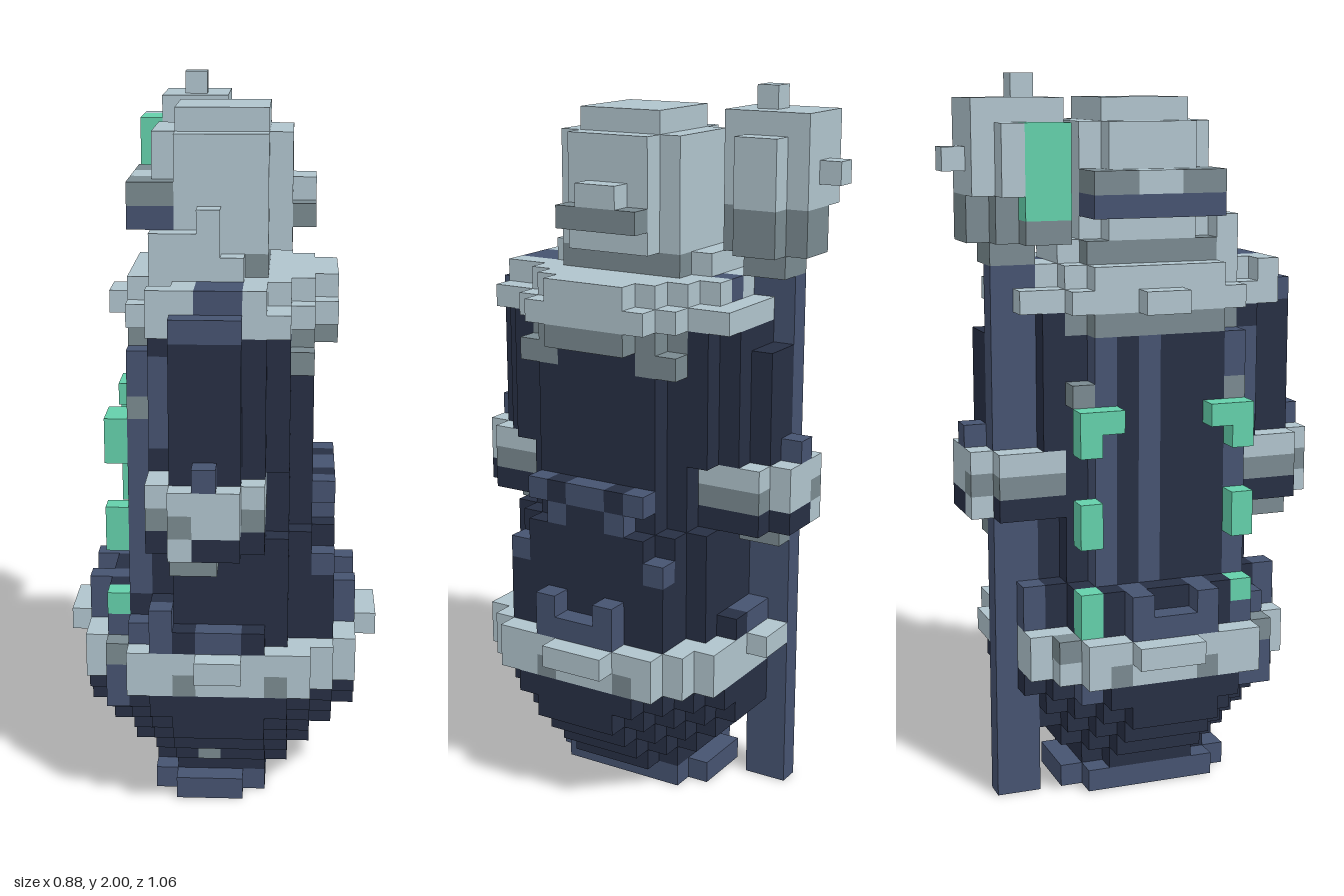
import * as THREE from 'three';

const U = 1 / 16; // size of one block
const COLOURS = { paleStone: 0xb0c4cd, greyStone: 0x7a8a90, slateBlue: 0x465370, darkNavy: 0x272f44, jadeGreen: 0x64d0ab };
const SIDES = [[1, 0, 0], [-1, 0, 0], [0, 1, 0], [0, -1, 0], [0, 0, 1], [0, 0, -1]];

export function createModel() {
  const cells = new Map();

  // Fill a block range (upper ends exclusive); cut bevels the vertical corners in steps.
  const slab = (part, colour, x0, x1, y0, y1, z0, z1, cut = 0) => {
    for (let x = x0; x < x1; x++) for (let z = z0; z < z1; z++) {
      if (Math.min(x - x0, x1 - 1 - x) + Math.min(z - z0, z1 - 1 - z) < cut) continue;
      for (let y = y0; y < y1; y++) cells.set(`${x},${y},${z}`, { part, colour, p: [x, y, z] });
    }
  };
  const N = 'darkNavy', B = 'slateBlue', L = 'paleStone', G = 'greyStone', J = 'jadeGreen';

  // Rounded base, widening in steps
  slab('foot', B, -3, 2, 0, 1, 5, 13, 1);
  slab('foot', N, -2, 1, 0, 1, 7, 8);
  slab('foot', N, -2, 1, 0, 1, 10, 11);
  slab('base', N, -3, 3, 1, 2, 6, 12, 1);
  slab('base', N, -4, 4, 2, 3, 5, 13, 2);
  slab('base', N, -5, 5, 3, 4, 4, 14, 3);
  slab('base', N, -6, 6, 4, 5, 3, 15, 4);
  slab('base', N, -6, 6, 5, 6, 3, 15, 3);
  slab('base', G, -1, 0, 2, 3, 12, 13);

  // Rim ring with studs
  slab('rim', L, -6, 6, 6, 8, 3, 15, 2);
  slab('rim', L, -7, 7, 7, 8, 7, 10);
  slab('rim', L, -1, 1, 7, 8, 2, 16);
  for (const x of [-2, 2]) slab('rim', G, x, x + 1, 6, 7, 14, 15);
  for (const z of [6, 10]) for (const x of [-6, 5]) slab('rim', G, x, x + 1, 6, 7, z, z + 1);
  for (const z of [4, 13]) slab('rim', G, -5, -4, 7, 8, z, z + 1);
  slab('rimPost', B, -5, -4, 5, 7, 13, 14);

  // Lower body and ledge blocks
  slab('lowerBody', N, -5, 5, 8, 10, 4, 14, 2);
  slab('lowerBody', N, -4, 5, 10, 13, 4, 14, 2);
  slab('lowerBody', N, -4, 5, 13, 15, 6, 12, 1);
  for (const x of [-6, 5]) {
    slab('ledgeBlock', B, x, x + 1, 8, 9, 7, 11);
    for (const z of [7, 10]) slab('ledgeBlock', B, x, x + 1, 9, 10, z, z + 1);
  }
  for (const z of [7, 10]) slab('ledgeBlock', B, -5, -4, 8, 10, z, z + 1);
  for (const z of [3, 14]) {
    slab('ledgeBlock', N, -3, 2, 8, 9, z, z + 1);
    slab('ledgeBlock', B, -3, -2, 8, 10, z, z + 1);
    slab('ledgeBlock', B, -1, 1, 8, 9, z, z + 1);
  }
  slab('ledgeBlock', B, -4, -3, 8, 9, 13, 14);
  for (const z of [5, 12]) {
    slab('ledgePost', N, 4, 5, 8, 11, z, z + 1);
    slab('ledgePost', B, 4, 5, 11, 12, z, z + 1);
  }
  for (const z of [6, 8, 9, 11]) slab('ledgeBlock', B, 4, 5, 14, 15, z, z + 1);
  for (const z of [7, 10]) slab('ledgeBlock', B, 4, 5, 13, 14, z, z + 1);

  // Upper body with pointed front and back fins
  slab('upperBody', N, -4, 4, 10, 22, 4, 14, 2);
  slab('upperBody', N, -3, 3, 16, 22, 3, 15, 1);
  slab('frontFin', N, -2, 1, 16, 23, 14, 16);
  slab('backFin', N, -1, 1, 16, 21, 2, 4);

  // Blue strips up the right flank with green lamps, each lamp pair flaring outward
  for (const z of [6, 8, 12]) slab('flankStrip', B, -4, -3, 10, 21, z, z + 1);
  slab('flankStrip', B, -3, -2, 17, 21, 13, 14);
  for (const [z0, outer] of [[5, 5], [11, 12]]) {
    slab('lampPost', B, -5, -4, 5, 8, outer, outer + 1);
    for (const [y0, y1] of [[8, 10], [12, 14], [16, 18]]) slab('lamp', J, -5, -4, y0, y1, outer, outer + 1);
    slab('lamp', J, -5, -4, 17, 18, z0, z0 + 2);
    slab('lampCap', G, -4, -3, 18, 19, outer, outer + 1);
  }
  slab('ledgeBlock', B, -5, -4, 8, 9, 12, 13);

  // Front and back balconies
  for (const back of [false, true]) {
    const b = (part, colour, x0, x1, y0, y1, z0, z1) =>
      slab(part, colour, x0, x1, y0, y1, back ? 18 - z1 : z0, back ? 18 - z0 : z1);
    b('balconyBracket', G, -2, 0, 12, 13, 14, 16);
    b('balcony', N, -3, 2, 13, 14, 13, 16);
    b('balcony', N, -2, 1, 13, 14, 16, 17);
    b('balcony', L, -2, -1, 13, 14, 16, 17);
    b('balcony', G, -3, 2, 14, 15, 13, 16);
    b('balcony', G, -2, 1, 14, 15, 16, 17);
    b('balcony', L, -1, 1, 14, 15, 15, 17);
    b('balcony', L, -3, 2, 15, 16, 13, 16);
    b('balcony', L, -2, 1, 15, 16, 16, 17);
    b('balconyStud', B, -1, 0, 16, 17, 16, 17);
  }

  // Stone collar under the heads, stepped outward
  slab('collar', G, 2, 4, 20, 21, 5, 7);
  slab('collar', G, 2, 4, 20, 21, 11, 13);
  slab('collar', G, -4, 4, 21, 22, 4, 14, 2);
  slab('collar', G, 4, 5, 21, 22, 7, 11);
  slab('collar', L, -4, 4, 22, 23, 4, 14, 1);
  slab('collar', L, -3, 3, 22, 23, 3, 15);
  slab('collar', L, -5, -4, 22, 23, 8, 10);
  slab('collar', L, 4, 5, 22, 23, 6, 12);
  slab('collar', L, -4, 4, 23, 24, 4, 14, 2);
  slab('collar', L, -3, 2, 23, 24, 14, 15);
  slab('collar', L, 4, 5, 23, 24, 7, 11);
  slab('collar', B, 0, 1, 23, 24, 4, 5);
  slab('frontFin', N, -2, 1, 21, 22, 13, 16);
  slab('frontFin', B, -2, 1, 22, 23, 15, 16);
  slab('frontFin', B, -1, 1, 22, 24, 13, 15);

  // Back pole down to the ground
  slab('pole', B, -2, -1, 0, 24, 2, 4);

  // Front head
  slab('frontHead', G, -3, 2, 24, 25, 5, 13, 1);
  slab('frontHead', L, -2, 1, 24, 25, 5, 13);
  slab('frontHead', L, -3, 3, 25, 30, 6, 12, 1);
  slab('frontHead', L, -2, 2, 30, 31, 7, 11);
  slab('nose', L, -1, 0, 24, 27, 12, 13);
  slab('cheek', L, -3, -1, 24, 26, 12, 13);
  slab('brim', G, 3, 4, 26, 27, 7, 11);
  slab('brim', L, 3, 4, 27, 28, 8, 10);
  slab('brim', B, -4, -3, 26, 27, 6, 12);
  slab('brim', L, -4, -3, 27, 28, 8, 10);
  for (const [z0, z1, corner] of [[6, 8, 6], [10, 12, 11]]) {
    slab('brim', B, -3, -2, 26, 27, corner, corner + 1);
    slab('brim', G, -4, -3, 27, 28, z0, z1);
    slab('brim', G, -3, -2, 27, 28, corner, corner + 1);
  }

  // Back head with knobs and a green side lamp
  slab('backHead', G, -2, 0, 24, 25, 2, 4);
  slab('backHead', G, -3, 1, 25, 27, 1, 5, 1);
  slab('backHead', L, -4, 1, 27, 30, 1, 5, 1);
  slab('backHead', L, -3, 0, 30, 31, 1, 5);
  slab('backKnob', L, -2, -1, 28, 29, 0, 1);
  slab('topKnob', L, -2, -1, 31, 32, 3, 4);
  slab('sideLamp', G, -4, -3, 25, 26, 3, 5);
  slab('sideLamp', J, -4, -3, 26, 30, 3, 5);

  // Emit only the outer faces of the blocks, one mesh per part and colour
  const materials = {};
  for (const [name, color] of Object.entries(COLOURS)) {
    materials[name] = new THREE.MeshStandardMaterial({ color });
    materials[name].name = name;
  }
  const buckets = new Map();
  for (const { part, colour, p } of cells.values()) {
    const id = part + '|' + colour;
    if (!buckets.has(id)) buckets.set(id, { part, colour, pos: [], nor: [] });
    const { pos, nor } = buckets.get(id);
    for (const d of SIDES) {
      if (cells.has(p.map((v, i) => v + d[i]).join())) continue;
      const a = d.findIndex((v) => v !== 0), b = (a + 1) % 3, c = (a + 2) % 3;
      const corner = (s, t) => {
        const q = [...p];
        q[a] += d[a] > 0 ? 1 : 0;
        q[b] += s;
        q[c] += t;
        return [q[0] * U, q[1] * U, (q[2] - 8.5) * U];
      };
      const quad = [corner(0, 0), corner(1, 0), corner(1, 1), corner(0, 1)];
      if (d[a] < 0) quad.reverse();
      for (const i of [0, 1, 2, 0, 2, 3]) {
        pos.push(...quad[i]);
        nor.push(...d);
      }
    }
  }

  const group = new THREE.Group();
  group.name = 'blockTower';
  for (const { part, colour, pos, nor } of buckets.values()) {
    if (!pos.length) continue;
    const geometry = new THREE.BufferGeometry();
    geometry.setAttribute('position', new THREE.Float32BufferAttribute(pos, 3));
    geometry.setAttribute('normal', new THREE.Float32BufferAttribute(nor, 3));
    const mesh = new THREE.Mesh(geometry, materials[colour]);
    mesh.name = part;
    group.add(mesh);
  }
  return group;
}
